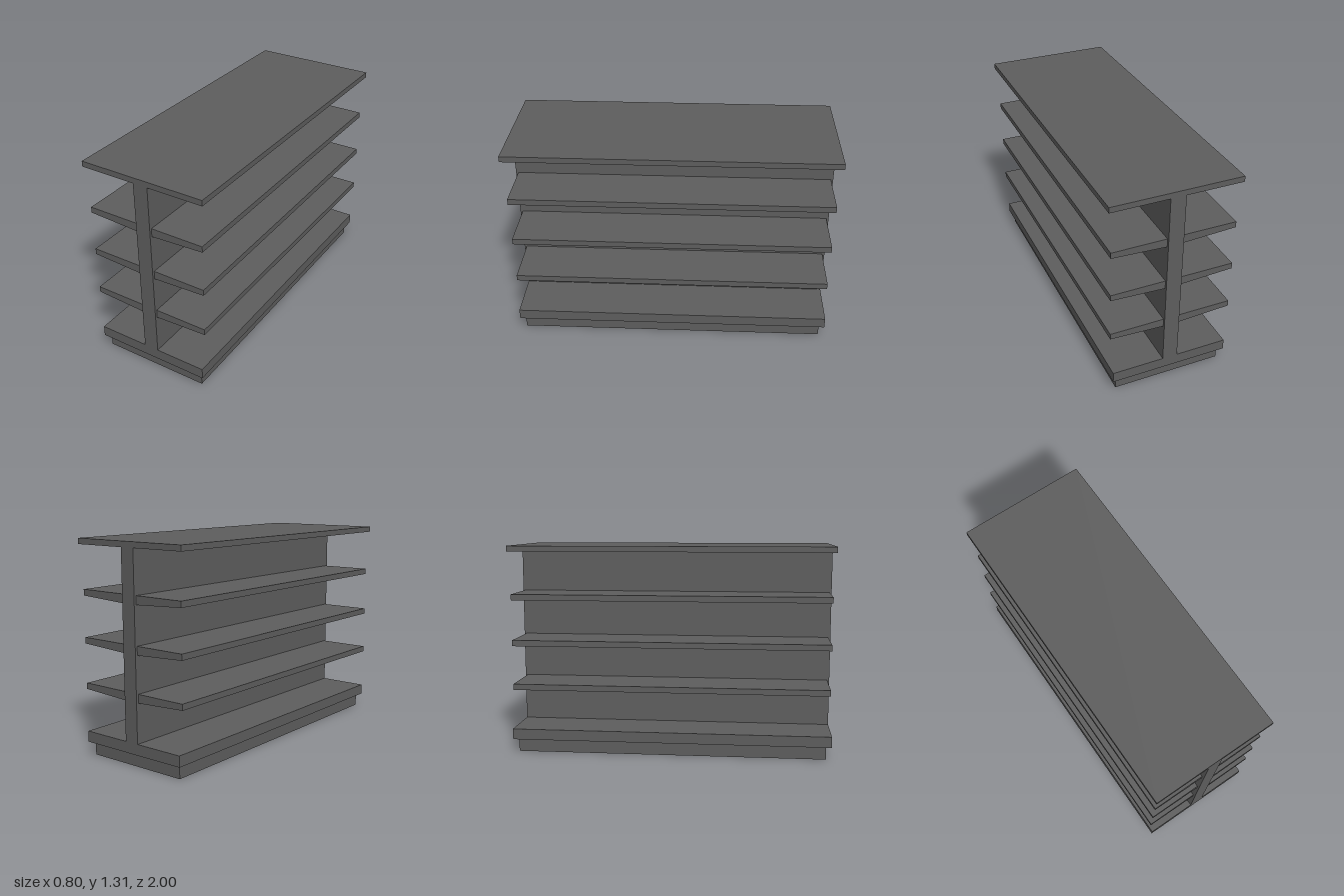
import * as THREE from 'three';

export function createModel() {
  const group = new THREE.Group();
  group.name = 'gondolaShelf';
  const metal = new THREE.MeshStandardMaterial({ color: 0x5e5e5e });
  metal.name = 'dark grey metal';

  const add = (name, geometry) => {
    const mesh = new THREE.Mesh(geometry, metal);
    mesh.name = name;
    group.add(mesh);
  };

  // Box centred on x and z, spanning y0 to y1
  const slab = (name, width, y0, y1, depth) =>
    add(name, new THREE.BoxGeometry(width, y1 - y0, depth).translate(0, (y0 + y1) / 2, 0));

  slab('plinth', 0.68, 0, 0.083, 1.936);
  slab('baseDeck', 0.736, 0.083, 0.15, 2);
  slab('spinePanel', 0.094, 0.15, 1.272, 2);
  slab('topBoard', 0.8, 1.272, 1.307, 2);

  // Shelves on both sides, thicker towards the spine
  const inner = 0.047, outer = 0.382, length = 1.97;
  for (const top of [0.443, 0.721, 1.008]) {
    for (const side of [1, -1]) {
      const profile = new THREE.Shape([
        new THREE.Vector2(side * inner, top),
        new THREE.Vector2(side * inner, top - 0.053),
        new THREE.Vector2(side * outer, top - 0.037),
        new THREE.Vector2(side * outer, top),
      ]);
      const geometry = new THREE.ExtrudeGeometry(profile, { depth: length, bevelEnabled: false });
      add(side > 0 ? 'leftShelf' : 'rightShelf', geometry.translate(0, 0, -length / 2));
    }
  }
  return group;
}
